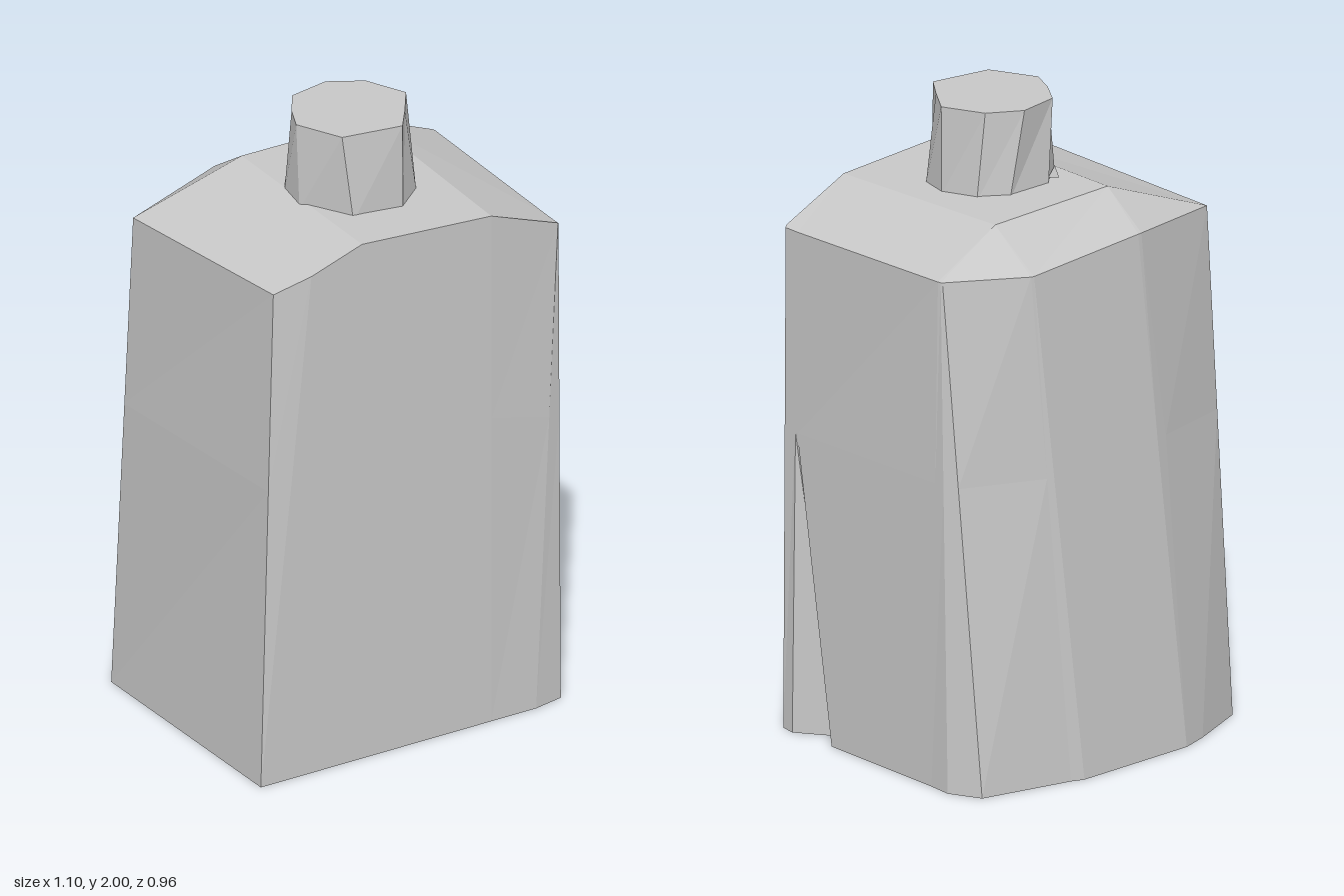
import * as THREE from 'three';

// Loft closed rings of equal length into a flat-shaded skin (rings run counterclockwise from above)
function loft(rings, extra = []) {
  const pos = [];
  const tri = (a, b, c) => pos.push(...a, ...b, ...c);
  for (let r = 0; r + 1 < rings.length; r++) {
    const lo = rings[r], hi = rings[r + 1], n = lo.length;
    for (let i = 0; i < n; i++) {
      const j = (i + 1) % n;
      tri(lo[i], lo[j], hi[j]);
      tri(lo[i], hi[j], hi[i]);
    }
  }
  extra.forEach(t => tri(...t));
  const g = new THREE.BufferGeometry();
  g.setAttribute('position', new THREE.Float32BufferAttribute(pos, 3));
  g.computeVertexNormals();
  return g;
}

export function createModel() {
  const model = new THREE.Group();
  const grey = new THREE.MeshStandardMaterial({ color: 0xc8c8c8, flatShading: true, side: THREE.DoubleSide });
  grey.name = 'plain grey';
  const add = (name, geometry) => {
    const m = new THREE.Mesh(geometry, grey);
    m.name = name;
    model.add(m);
  };

  // Crest of the shoulder: front left, front right, back right, back left
  const crest = [[-0.18, 1.74, 0.48], [0.28, 1.71, 0.48], [0.28, 1.735, -0.21], [-0.18, 1.745, -0.2]];

  // Body columns: base [x, z], shoulder [x, y, z], crest index, optional middle point
  const columns = [
    [[-0.54, 0.48], [-0.48, 1.64, 0.455], 0],
    [[-0.535, 0.48], [-0.36, 1.68, 0.48], 0],
    [[-0.18, 0.48], crest[0], 0],
    [[0.28, 0.48], crest[1], 1],
    [[0.44, 0.48], [0.53, 1.61, 0.46], 1],
    [[0.54, 0.46], [0.535, 1.605, 0.455], 1],
    // groove in the side, closing towards the top
    [[0.548, 0.41], [0.535, 1.605, 0.42], 1, [0.537, 0.96, 0.41]],
    [[0.47, 0.3], [0.535, 1.605, 0.41], 1, [0.537, 0.96, 0.408]],
    [[0.54, 0.24], [0.535, 1.605, 0.4], 1, [0.537, 0.96, 0.4]],
    [[0.545, -0.22], [0.532, 1.62, -0.235], 2],
    [[0.55, -0.3], [0.53, 1.62, -0.245], 2],
    [[0.5, -0.4], [0.527, 1.62, -0.25], 2],
    [[0.2, -0.465], [0.275, 1.61, -0.368], 2],
    [[0.16, -0.48], [0.265, 1.61, -0.37], 2],
    [[-0.26, -0.47], [-0.16, 1.64, -0.362], 3],
    [[-0.35, -0.44], [-0.175, 1.64, -0.36], 3],
    [[-0.55, -0.35], [-0.535, 1.61, -0.25], 3],
  ];
  const base = columns.map(([[x, z]]) => [x, 0, z]);
  const shoulder = columns.map(c => c[1]);
  const middle = columns.map((c, i) => c[3] || base[i].map((v, k) => THREE.MathUtils.lerp(v, shoulder[i][k], 0.6)));
  add('body', loft([base, middle, shoulder]));

  // Sloping shoulder closed by the crest panel
  add('shoulder', loft([shoulder, columns.map(c => crest[c[2]])],
    [[crest[0], crest[1], crest[2]], [crest[0], crest[2], crest[3]]]));

  // Underside
  const outline = new THREE.Shape(columns.map(([[x, z]]) => new THREE.Vector2(x, z)));
  add('base', new THREE.ShapeGeometry(outline).rotateX(Math.PI / 2));

  // Faceted cap
  const capBottom = [[-0.195, 0.15], [-0.1, 0.305], [0.07, 0.315], [0.17, 0.23], [0.195, 0.13],
    [0.16, 0.01], [0.08, -0.05], [-0.07, -0.055], [-0.18, 0.04]].map(([x, z]) => [x, 1.72, z]);
  const capTop = [[-0.197, 0.135], [-0.125, 0.28], [0.07, 0.312], [0.13, 0.23], [0.197, 0.13],
    [0.135, 0], [0.03, -0.06], [-0.105, -0.035], [-0.16, 0.05]].map(([x, z]) => [x, 2, z]);
  const centre = [0, 2, 0.13];
  add('cap', loft([capBottom, capTop],
    capTop.map((p, i) => [centre, p, capTop[(i + 1) % capTop.length]])));

  // Small tab behind the cap
  const tip = [-0.065, 1.775, -0.11], root = [-0.07, 1.76, -0.055], side = [-0.18, 1.745, 0.04];
  add('tab', loft([], [[tip, side, root]]));

  return model;
}
